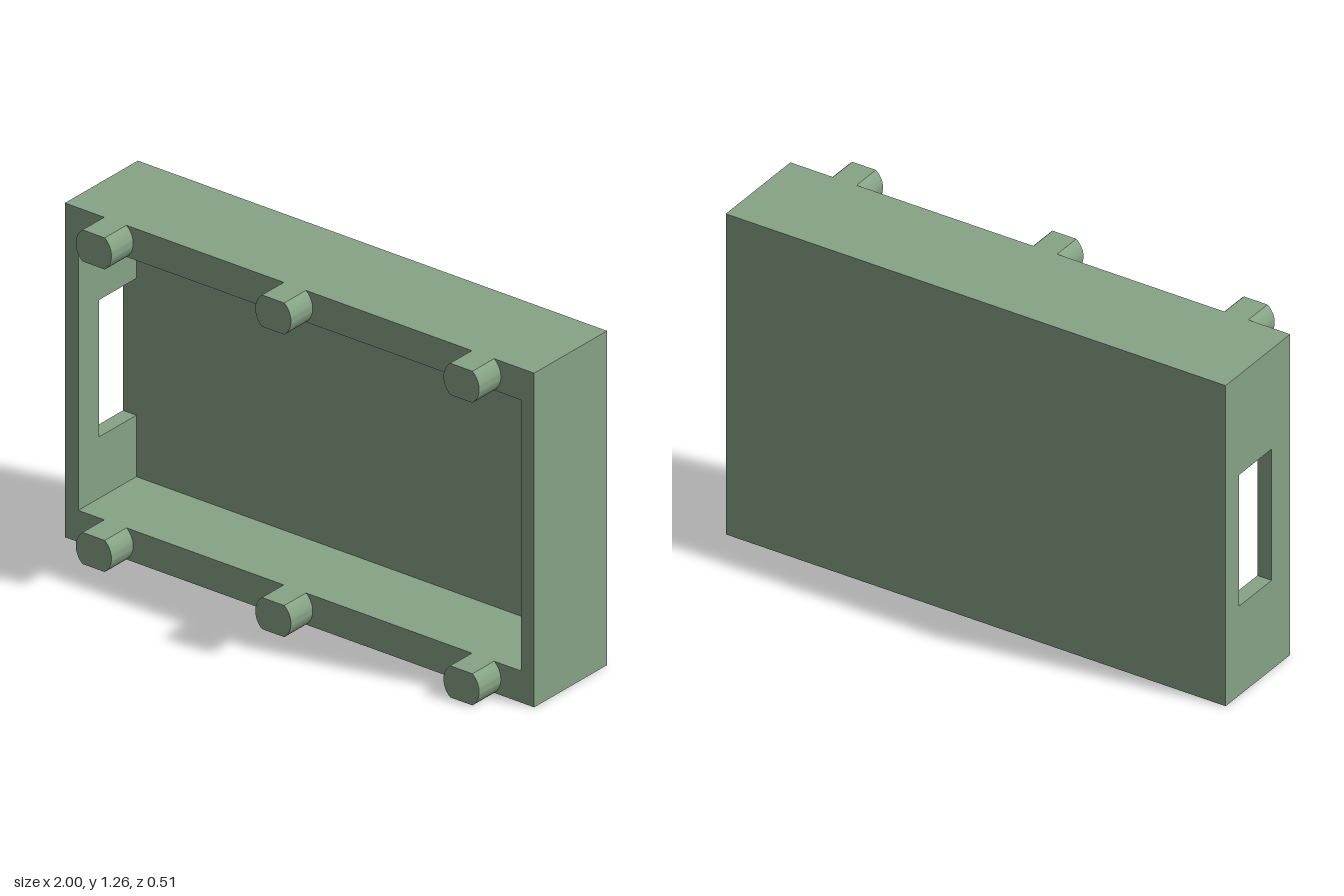
import * as THREE from 'three';
import { toCreasedNormals } from 'three/addons/utils/BufferGeometryUtils.js';

const H = 1.257;                        // overall height
const BACK = -0.255, FACE = 0.138, FRONT = 0.255; // z of back, rim and peg ends
const FLOOR = -0.175;                   // z of the recess floor
const SIDE = 0.057, RAIL = 0.119;       // side wall and top/bottom rail thickness

const polygon = (points) => new THREE.Shape(points.map(([x, y]) => new THREE.Vector2(x, y)));
const rect = (x0, y0, x1, y1) => polygon([[x0, y0], [x1, y0], [x1, y1], [x0, y1]]);
const extrude = (shape, depth) =>
  new THREE.ExtrudeGeometry(shape, { depth, bevelEnabled: false, curveSegments: 16 });

export function createModel() {
  const group = new THREE.Group();
  const material = new THREE.MeshStandardMaterial({ color: 0x86a386 });
  const add = (name, geometry, x, y, z) => {
    const mesh = new THREE.Mesh(geometry, material);
    mesh.name = name;
    mesh.position.set(x, y, z);
    group.add(mesh);
    return mesh;
  };
  const inner = -1 + SIDE;

  // Back panel, closing the tray
  const panelDepth = FLOOR - BACK;
  add('backPanel', new THREE.BoxGeometry(1 - inner, H, panelDepth),
    (1 + inner) / 2, H / 2, BACK + panelDepth / 2);

  // Top rail, bottom rail and closed side wall as one C-shaped rim
  const rim = polygon([
    [inner, 0], [1, 0], [1, H], [inner, H],
    [inner, H - RAIL], [1 - SIDE, H - RAIL], [1 - SIDE, RAIL], [inner, RAIL],
  ]);
  add('rim', extrude(rim, FACE - FLOOR), 0, 0, FLOOR);

  // Right side wall with its rectangular window, drawn in z-y and extruded along x
  const wall = rect(BACK, 0, FACE, H);
  wall.holes.push(rect(FLOOR, 0.35, 0.025, 0.865));
  add('windowWall', extrude(wall, SIDE).rotateY(-Math.PI / 2), inner, 0, 0);

  // Round pegs trimmed flat to the height of the rails
  const radius = 0.076, a = Math.asin(RAIL / 2 / radius);
  const peg = new THREE.Shape();
  peg.absarc(0, 0, radius, -a, a);
  peg.absarc(0, 0, radius, Math.PI - a, Math.PI + a);
  const pegGeometry = toCreasedNormals(extrude(peg, FRONT - FACE), 0.5);
  for (const x of [-0.785, -0.02, 0.782]) {
    add('bottomPeg', pegGeometry, x, RAIL / 2, FACE);
    add('topPeg', pegGeometry, x, H - RAIL / 2, FACE);
  }
  return group;
}
